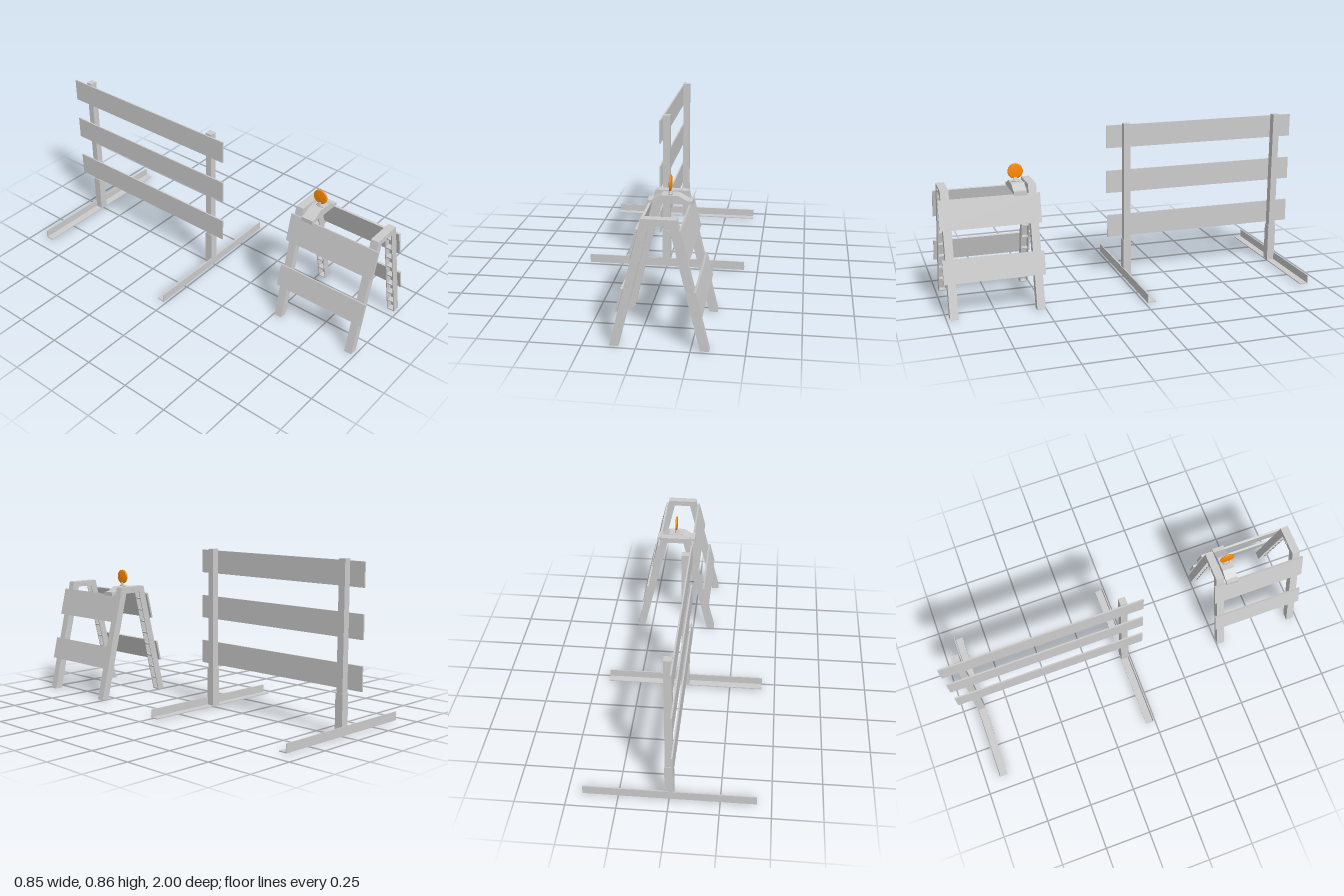
import * as THREE from 'three';

const grey = new THREE.MeshStandardMaterial({ color: 0xcccccc });
const amber = new THREE.MeshStandardMaterial({ color: 0xff8c00 });

function add(parent, name, geometry, material = grey) {
  const mesh = new THREE.Mesh(geometry, material);
  mesh.name = name;
  parent.add(mesh);
  return mesh;
}

// Box given by its limits on each axis
function box(parent, name, x0, x1, y0, y1, z0, z1) {
  const mesh = add(parent, name, new THREE.BoxGeometry(x1 - x0, y1 - y0, z1 - z0));
  mesh.position.set((x0 + x1) / 2, (y0 + y1) / 2, (z0 + z1) / 2);
  return mesh;
}

// Outline in x/y, extruded from z0 to z1
function prism(parent, name, points, z0, z1) {
  const shape = new THREE.Shape(points.map(([x, y]) => new THREE.Vector2(x, y)));
  const geometry = new THREE.ExtrudeGeometry(shape, { depth: z1 - z0, bevelEnabled: false });
  return add(parent, name, geometry.translate(0, 0, z0));
}

// Half widths of the A-frame at a given height
const outer = (y) => 0.23 - 0.242 * y;
const inner = (y) => 0.188 - 0.2407 * y;

// One A-frame: hollow legs open to the inside, closed by ribs
function aFrame(z) {
  const frame = new THREE.Group();
  frame.name = 'aFrame';
  const h = 0.021, wall = 0.004;
  const outline = [[-0.23, 0], [-0.08, 0.62], [0.08, 0.62], [0.23, 0],
    [0.188, 0], [0.046, 0.59], [-0.046, 0.59], [-0.188, 0]];
  prism(frame, 'frontCheek', outline, h - wall, h);
  prism(frame, 'backCheek', outline, -h, -h + wall);
  const a = h - wall;
  prism(frame, 'topBar', [[-outer(0.59), 0.59], [-0.08, 0.62], [0.08, 0.62], [outer(0.59), 0.59]], -a, a);
  for (const s of [-1, 1]) {
    prism(frame, 'legWeb', [[s * outer(0), 0], [s * outer(0.59), 0.59],
      [s * (outer(0.59) - 0.006), 0.59], [s * (outer(0) - 0.006), 0]], -a, a);
    for (let i = 0; i < 9; i++) {
      const y = i * 0.068, t = y + 0.006;
      prism(frame, 'legRib', [[s * (outer(y) - 0.005), y], [s * (outer(t) - 0.005), t],
        [s * inner(t), t], [s * inner(y), y]], -a, a);
    }
  }
  // Bolt through the top bar
  const bolt = add(frame, 'topBolt', new THREE.CylinderGeometry(0.007, 0.007, 0.052, 12));
  bolt.rotation.x = Math.PI / 2;
  bolt.position.y = 0.604;
  frame.position.z = z;
  return frame;
}

// Small trestle barrier with leaning boards and a warning lamp
function createTrestle() {
  const trestle = new THREE.Group();
  trestle.name = 'trestleBarrier';
  trestle.add(aFrame(0.525), aFrame(0.962));

  for (const s of [-1, 1]) {
    for (const [y0, y1] of [[0.175, 0.293], [0.43, 0.578]]) {
      prism(trestle, 'leaningBoard', [[s * outer(y0), y0 + 0.003], [s * outer(y1), y1 - 0.003],
        [s * (outer(y1) + 0.011), y1], [s * (outer(y0) + 0.011), y0]], 0.49, 1.0);
    }
  }

  // Raised tray carrying the lamp
  prism(trestle, 'lampTray', [[-0.108, 0.57], [-0.108, 0.592], [-0.085, 0.592], [-0.04, 0.617],
    [0.04, 0.617], [0.085, 0.592], [0.108, 0.592], [0.108, 0.57],
    [0.1, 0.57], [0.1, 0.576], [-0.1, 0.576], [-0.1, 0.57]], 0.556, 0.622);

  const lamp = new THREE.Group();
  lamp.name = 'warningLamp';
  const neck = [[0, 0], [0.016, 0], [0.014, 0.005], [0.009, 0.012], [0.008, 0.025], [0, 0.025]];
  const neckMesh = add(lamp, 'lampNeck',
    new THREE.LatheGeometry(neck.map(([r, y]) => new THREE.Vector2(r, y)), 16));
  neckMesh.position.y = 0.616;
  neckMesh.scale.set(0.7, 1, 1.4);
  const lens = [[0, -0.0065], [0.016, -0.006], [0.03, -0.0045], [0.035, -0.0045], [0.039, -0.003],
    [0.039, 0.003], [0.035, 0.0045], [0.03, 0.0045], [0.016, 0.006], [0, 0.0065]];
  const lensMesh = add(lamp, 'lampLens',
    new THREE.LatheGeometry(lens.map(([r, y]) => new THREE.Vector2(r, y)), 32), amber);
  lensMesh.rotation.z = Math.PI / 2;
  lensMesh.position.y = 0.671;
  lamp.position.z = 0.592;
  trestle.add(lamp);

  trestle.position.x = 0.105;
  return trestle;
}

// Tall barrier: three rails on two posts with angle-iron feet
function createRailBarrier() {
  const barrier = new THREE.Group();
  barrier.name = 'railBarrier';
  for (const [y0, y1] of [[0.23, 0.353], [0.478, 0.6], [0.724, 0.846]]) {
    box(barrier, 'rail', -0.028, -0.02, y0, y1, -1.0, 0.07);
  }
  // s points to the outer side, which holds the upright flange
  for (const [z, s] of [[-0.032, 1], [-0.898, -1]]) {
    box(barrier, 'post', -0.02, 0.018, 0.012, 0.856, z - 0.018, z + 0.018);
    box(barrier, 'postSleeve', -0.023, 0.021, 0.012, 0.215, z - 0.0215, z + 0.0215);
    const edge = z + s * 0.023;
    const flange = edge - s * 0.005;
    box(barrier, 'footUpright', -0.428, 0.426, 0.007, 0.053, Math.min(edge, flange), Math.max(edge, flange));
    box(barrier, 'footBase', -0.428, 0.426, 0.007, 0.012, z - 0.022, z + 0.022);
  }
  return barrier;
}

export function createModel() {
  const model = new THREE.Group();
  model.name = 'roadBarriers';
  model.add(createRailBarrier(), createTrestle());
  return model;
}
